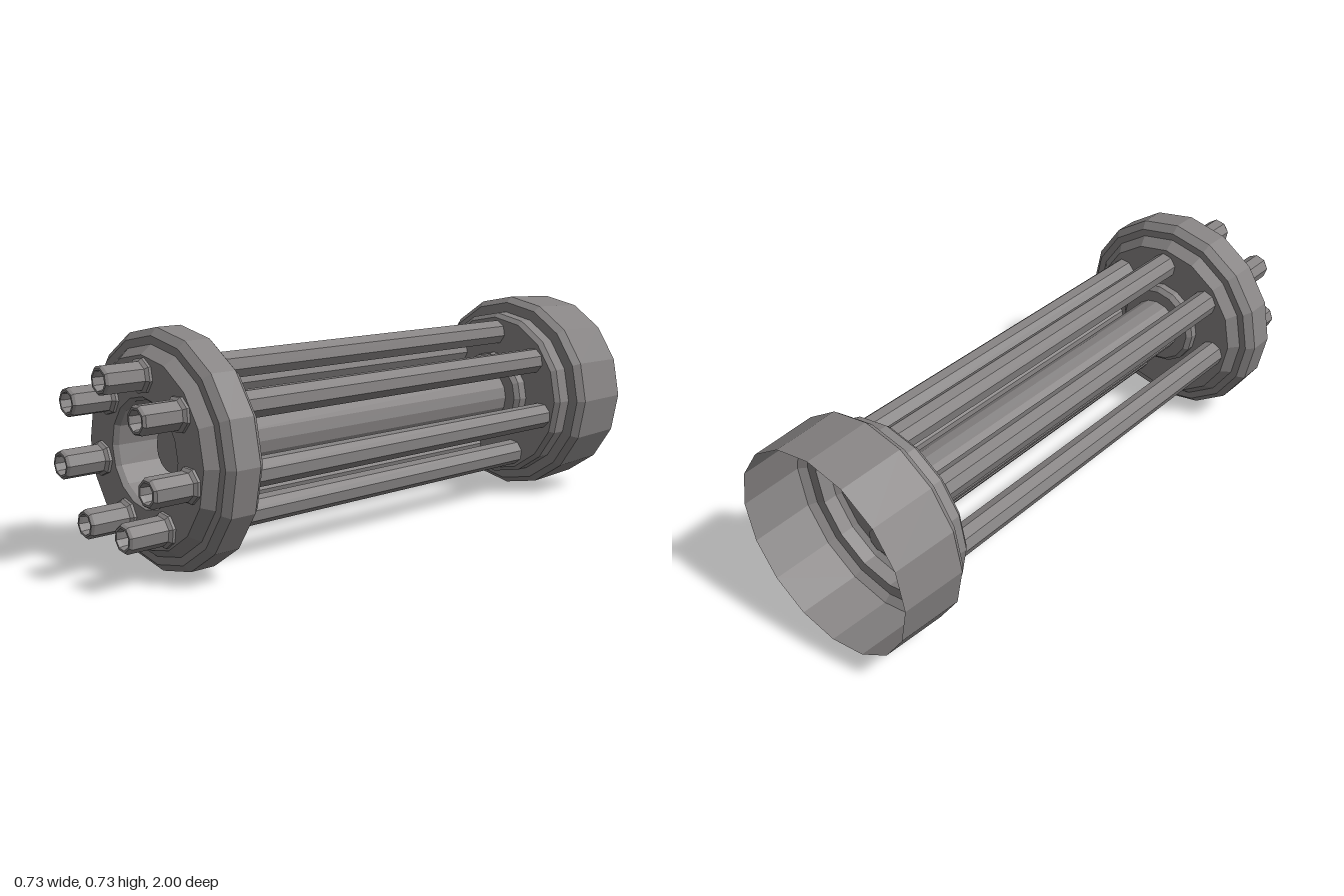
import * as THREE from 'three';

const AXIS_Y = 0.366;

export function createModel() {
  const model = new THREE.Group();
  const metal = new THREE.MeshStandardMaterial({ color: 0x868383, flatShading: true, side: THREE.DoubleSide });
  metal.name = 'grey metal';
  const dark = new THREE.MeshStandardMaterial({ color: 0x0c0c0c, flatShading: true });
  dark.name = 'black bore';

  // Turned part along z; profile points are [radius, z]
  function turned(name, profile, sides, parent) {
    const points = profile.map(([r, z]) => new THREE.Vector2(r, z));
    const geometry = new THREE.LatheGeometry(points, sides).rotateX(Math.PI / 2);
    const mesh = new THREE.Mesh(geometry, metal);
    mesh.name = name;
    parent.add(mesh);
    return mesh;
  }

  const assembly = new THREE.Group();
  assembly.name = 'barrelAssembly';
  assembly.position.y = AXIS_Y;
  model.add(assembly);

  // Front clamp disc with a recessed hub that bulges out behind
  turned('frontDisc', [
    [0.095, 0.615], [0.137, 0.615], [0.152, 0.63], [0.152, 0.655], [0.29, 0.655],
    [0.317, 0.69], [0.342, 0.69], [0.365, 0.715], [0.365, 0.8], [0.342, 0.82],
    [0.317, 0.82], [0.29, 0.855], [0.168, 0.855], [0.157, 0.84], [0.155, 0.665], [0.095, 0.665],
  ], 16, assembly);

  // Central shaft, chamfered in front and open at the back
  turned('centralShaft', [[0.096, -0.655], [0.096, 0.73], [0.075, 0.76], [0, 0.76]], 16, assembly);

  // Rear cup: thin open shell with a stepped collar and hub
  turned('rearCup', [
    [0.345, -1], [0.355, -0.785], [0.335, -0.762], [0.3, -0.758], [0.3, -0.71], [0.285, -0.695],
    [0.155, -0.695], [0.152, -0.665], [0.137, -0.65], [0.096, -0.65],
  ], 16, assembly);

  // Seven barrels, each with a collar and a dark bore
  for (let i = 0; i < 7; i++) {
    const spoke = new THREE.Group();
    spoke.name = `barrel${i + 1}`;
    spoke.rotation.z = -(i * Math.PI * 2 / 7 + 0.013);
    assembly.add(spoke);

    const barrel = new THREE.Group();
    barrel.position.y = 0.23;
    barrel.rotation.z = -0.2;
    spoke.add(barrel);

    turned('barrelTube', [
      [0, -0.705], [0.045, -0.705], [0.045, 0.992], [0.039, 1], [0.032, 1], [0.029, 0.99], [0.029, 0.9],
    ], 8, barrel);
    turned('barrelCollar', [[0.054, 0.85], [0.054, 0.864], [0.045, 0.873]], 8, barrel);

    const bore = new THREE.Mesh(new THREE.CircleGeometry(0.03, 16), dark);
    bore.name = 'bore';
    bore.position.z = 0.905;
    barrel.add(bore);
  }

  return model;
}
